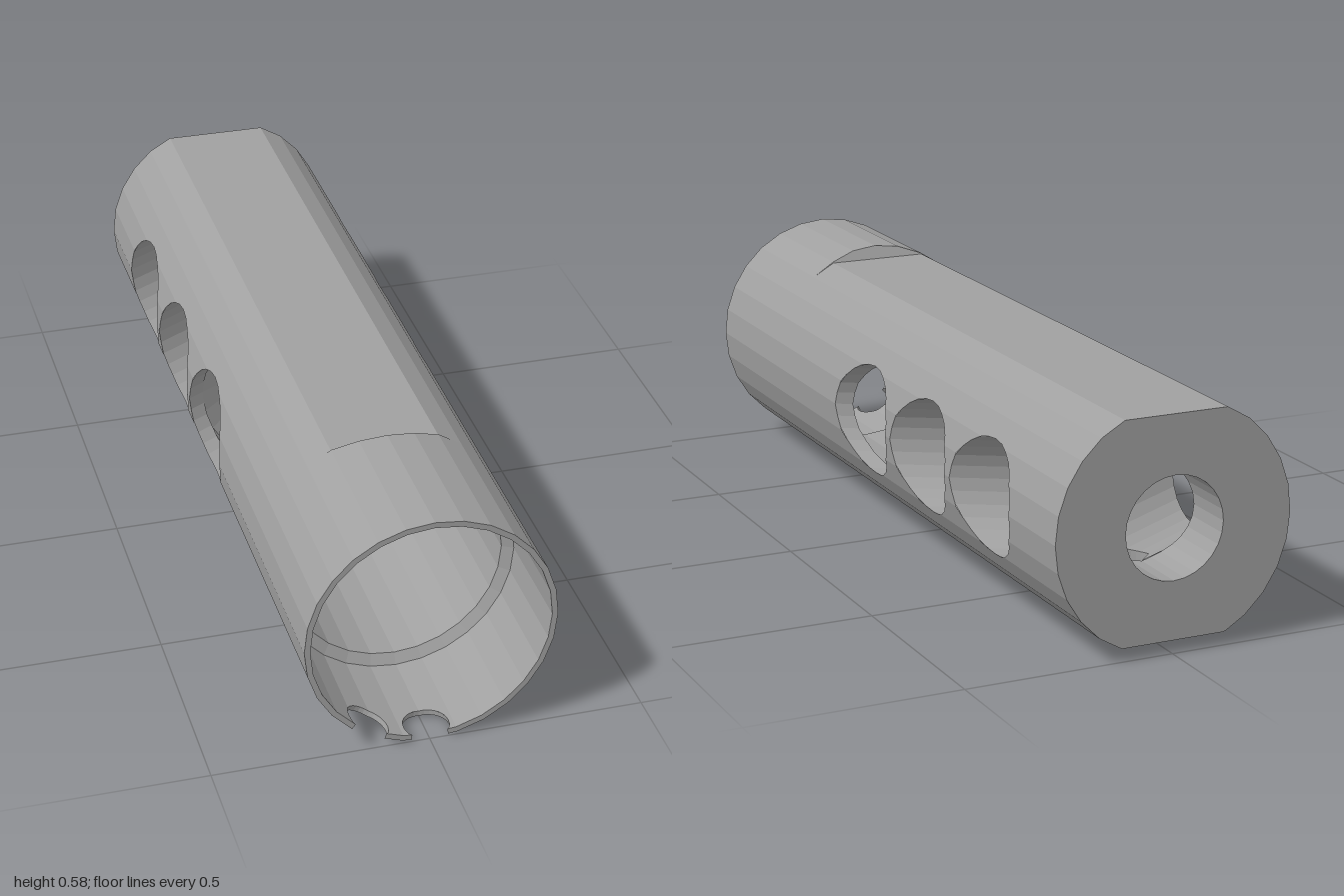
import * as THREE from 'three';

const SIDES = 28, CY = 0.29, TILT = Math.tan(Math.PI / 6), COS = Math.cos(Math.PI / 6);
const R = 0.2885, FLAT = 0.2575, FLAT_END = 0.62;         // body radius, half height over the flats
const RIM = 0.275, CAVITY = 0.25, BORE = 0.12;            // inner radii, front to back
const PORT = 0.135, VENT = 0.0535;                        // side port and bottom vent radii
const CENTRES = [-0.102, -0.442, -0.782];                 // where each pair of ports meets on the axis
const STEP = 0.72, CAVITY_END = CENTRES[0] + CAVITY * TILT - PORT / COS;
const NOTCH = 0.055, NOTCH_Z = 0.97, NOTCH_ANGLES = [-Math.PI / 2, -Math.PI * 2 / 3];

const root = v => Math.sqrt(Math.max(0, v));
const range = (n, f) => Array.from({ length: n }, (_, i) => f(i));

// Value between a (inside) and b (outside) where the test changes
function edge(inside, a, b) {
  for (let i = 0; i < 40; i++) {
    const m = (a + b) / 2;
    if (inside(m)) a = m; else b = m;
  }
  return a;
}

// Point at an angle on a regular many-sided ring
function ring(r, a) {
  const w = 2 * Math.PI / SIDES;
  const local = a - Math.floor(a / w) * w - w / 2;
  const d = r * Math.cos(w / 2) / Math.cos(local);
  return { x: d * Math.cos(a), y: d * Math.sin(a) };
}
const angleAtY = (r, y) => edge(a => ring(r, a).y <= y, -Math.PI / 2, Math.PI / 2);
const xAtY = (r, y) => (Math.abs(y) < r ? ring(r, angleAtY(r, y)).x : 0);

// Angles at every facet corner and opening sample, from -PI to PI
function columns(r) {
  const list = range(SIDES + 1, i => -Math.PI + i * 2 * Math.PI / SIDES);
  for (let i = 0; i <= 14; i++) {
    const c = Math.cos(i * Math.PI / 14);
    if (Math.abs(c * PORT) < r) {
      const a = angleAtY(r, c * PORT);
      list.push(a, a > 0 ? Math.PI - a : -Math.PI - a);
    }
    if (r > BORE) {
      list.push(-Math.PI / 2 + angleAtY(r, c * VENT));
      for (const n of NOTCH_ANGLES) list.push(n + c * NOTCH / R);
    }
  }
  return list.sort((a, b) => a - b).filter((a, i, l) => i === 0 || a - l[i - 1] > 1e-6);
}

// Opening k along z at a point of a lengthwise surface
function gap({ x, y }, k, vents = true) {
  if (vents && y < 0 && Math.abs(x) < VENT + 1e-6) {
    const s = root(VENT ** 2 - x * x);
    return [CENTRES[k] - s, CENTRES[k] + s];
  }
  const c = CENTRES[k] + Math.abs(x) * TILT, s = root(PORT ** 2 - y * y) / COS;
  return [c - s, c + s];
}
function notchGap(a) {
  for (const n of NOTCH_ANGLES) {
    const w = (a - n) * R;
    if (Math.abs(w) <= NOTCH + 1e-6) {
      const s = root(NOTCH ** 2 - w * w);
      return [NOTCH_Z - s, Math.min(1, NOTCH_Z + s)];
    }
  }
  return [NOTCH_Z, NOTCH_Z];
}

export function createModel() {
  const group = new THREE.Group();
  const steel = new THREE.MeshStandardMaterial({ color: 0xa0a0a0 });
  const at = (p, z) => new THREE.Vector3(p.x, p.y + CY, z);

  // Collects flat faces for one named part
  function part(name, build) {
    const pos = [];
    const tri = (a, b, c) => {
      const n = b.clone().sub(a).cross(c.clone().sub(a));
      if (n.length() > 1e-9) pos.push(...a.toArray(), ...b.toArray(), ...c.toArray());
    };
    build((A, B, flip = false, keep = () => true) => {
      for (let i = 0; i + 1 < A.length; i++) {
        if (!keep(i)) continue;
        const [a, b, c, d] = flip ? [A[i], B[i], B[i + 1], A[i + 1]] : [A[i], A[i + 1], B[i + 1], B[i]];
        tri(a, b, c);
        tri(a, c, d);
      }
    });
    const g = new THREE.BufferGeometry();
    g.setAttribute('position', new THREE.Float32BufferAttribute(pos, 3));
    g.computeVertexNormals();
    const mesh = new THREE.Mesh(g, steel);
    mesh.name = name;
    group.add(mesh);
  }

  const outer = columns(R), notches = outer.map(notchGap);
  const round = outer.map(a => ring(R, a)), rim = outer.map(a => ring(RIM, a));
  const flat = round.map(p => ({ x: p.x, y: Math.max(-FLAT, Math.min(FLAT, p.y)) }));
  const line = (pts, z) => pts.map((p, i) => at(p, typeof z === 'function' ? z(i) : z));

  // Body with flats above and below, pierced by ports and vents
  part('outerBody', strip => {
    const cuts = flat.map(p => [-1, ...gap(p, 2), ...gap(p, 1), ...gap(p, 0), FLAT_END]);
    for (let j = 0; j < 8; j += 2) strip(line(flat, i => cuts[i][j]), line(flat, i => cuts[i][j + 1]));
  });

  // Round front collar and the slopes down to the flats
  part('frontCollar', strip => {
    const start = line(round, i => FLAT_END + Math.max(0, Math.abs(round[i].y) - FLAT) * TILT);
    strip(line(flat, FLAT_END), start);
    strip(start, line(round, i => notches[i][0]));
    strip(line(round, i => notches[i][1]), line(round, 1));
  });

  // Front edge, open at the notches
  const open = i => notches[i][1] >= 1;
  part('frontRim', strip => strip(line(rim, 1), line(round, 1), true, i => !(open(i) && open(i + 1))));

  // Wide socket behind the rim and its sloped shoulder
  part('frontSocket', strip => {
    const shoulder = line(rim, STEP + (RIM - CAVITY) * TILT);
    strip(outer.map(a => at(ring(CAVITY, a), STEP)), shoulder, true);
    strip(shoulder, line(rim, i => notches[i][0]), true);
    strip(line(rim, i => notches[i][1]), line(rim, 1), true);
  });

  part('notchWalls', strip => {
    for (const n of NOTCH_ANGLES) {
      const pts = range(29, i => {
        const f = i * Math.PI / 14;
        return [n + NOTCH * Math.cos(f) / R, Math.min(1, NOTCH_Z + NOTCH * Math.sin(f))];
      });
      const loop = r => pts.map(([a, z]) => at(ring(r, a), z));
      strip(loop(RIM), loop(R), true, i => pts[i][1] < 1 || pts[i + 1][1] < 1);
    }
  });

  // Expansion cavity ending in a drill-point cone
  const inner = columns(CAVITY);
  part('cavity', strip => {
    const pts = inner.map(a => ring(CAVITY, a)), gaps = pts.map(p => gap(p, 0));
    strip(line(pts, CAVITY_END), line(pts, i => Math.max(CAVITY_END, gaps[i][0])), true);
    strip(line(pts, i => gaps[i][1]), line(pts, STEP), true);
  });
  const coneEnd = CAVITY_END - (CAVITY - BORE) * TILT;
  part('cavityCone', strip => {
    const top = inner.map(a => {
      const inVent = u => {
        const p = ring(CAVITY - u, a);
        return p.y < 0 && Math.hypot(p.x, CAVITY_END - u * TILT - CENTRES[0]) < VENT;
      };
      const u = inVent(0) ? edge(inVent, 0, CAVITY - BORE) : 0;
      return at(ring(CAVITY - u, a), CAVITY_END - u * TILT);
    });
    strip(inner.map(a => at(ring(BORE, a), coneEnd)), top, true);
  });

  // Bore, interrupted by the two rear chambers
  part('bore', strip => {
    const pts = columns(BORE).map(a => ring(BORE, a));
    const cuts = pts.map(p => [-1, ...gap(p, 2, false), ...gap(p, 1, false), coneEnd]);
    for (let j = 0; j < 6; j += 2) strip(line(pts, i => cuts[i][j]), line(pts, i => cuts[i][j + 1]), true);
  });

  part('backFace', strip => strip(outer.map(a => at(ring(BORE, a), -1)), line(flat, -1)));

  // Slanted side ports, mirrored left and right
  for (const side of [1, -1]) {
    part(side > 0 ? 'leftPorts' : 'rightPorts', strip => CENTRES.forEach((zb, k) => {
      const A = [], B = [];
      for (let i = 0; i <= 28; i++) {
        const f = i * Math.PI / 14, y = PORT * Math.sin(f), h = -PORT / COS * Math.cos(f);
        const xo = xAtY(R, y);
        let xi = xAtY(k ? BORE : CAVITY, y);
        const inVent = x => Math.hypot(x, h + x * TILT) < VENT;
        if (k && y < 0 && inVent(xi)) xi = edge(inVent, xi, xo);
        A.push(at({ x: side * xi, y }, zb + h + xi * TILT));
        B.push(at({ x: side * xo, y }, zb + h + xo * TILT));
      }
      strip(A, B, side > 0);
    }));
  }

  // Small vents through the bottom flat
  part('bottomVents', strip => CENTRES.forEach((zb, k) => {
    const A = [], B = [];
    for (let i = 0; i <= 28; i++) {
      const f = i * Math.PI / 14, x = VENT * Math.cos(f), dz = VENT * Math.sin(f);
      const r = CAVITY - Math.max(0, CAVITY_END - zb - dz) / TILT;
      const y = k ? -root(PORT ** 2 - ((dz - Math.abs(x) * TILT) * COS) ** 2) : -root(r * r - x * x);
      A.push(at({ x, y }, zb + dz));
      B.push(at({ x, y: -FLAT }, zb + dz));
    }
    strip(A, B, true);
  }));

  return group;
}
